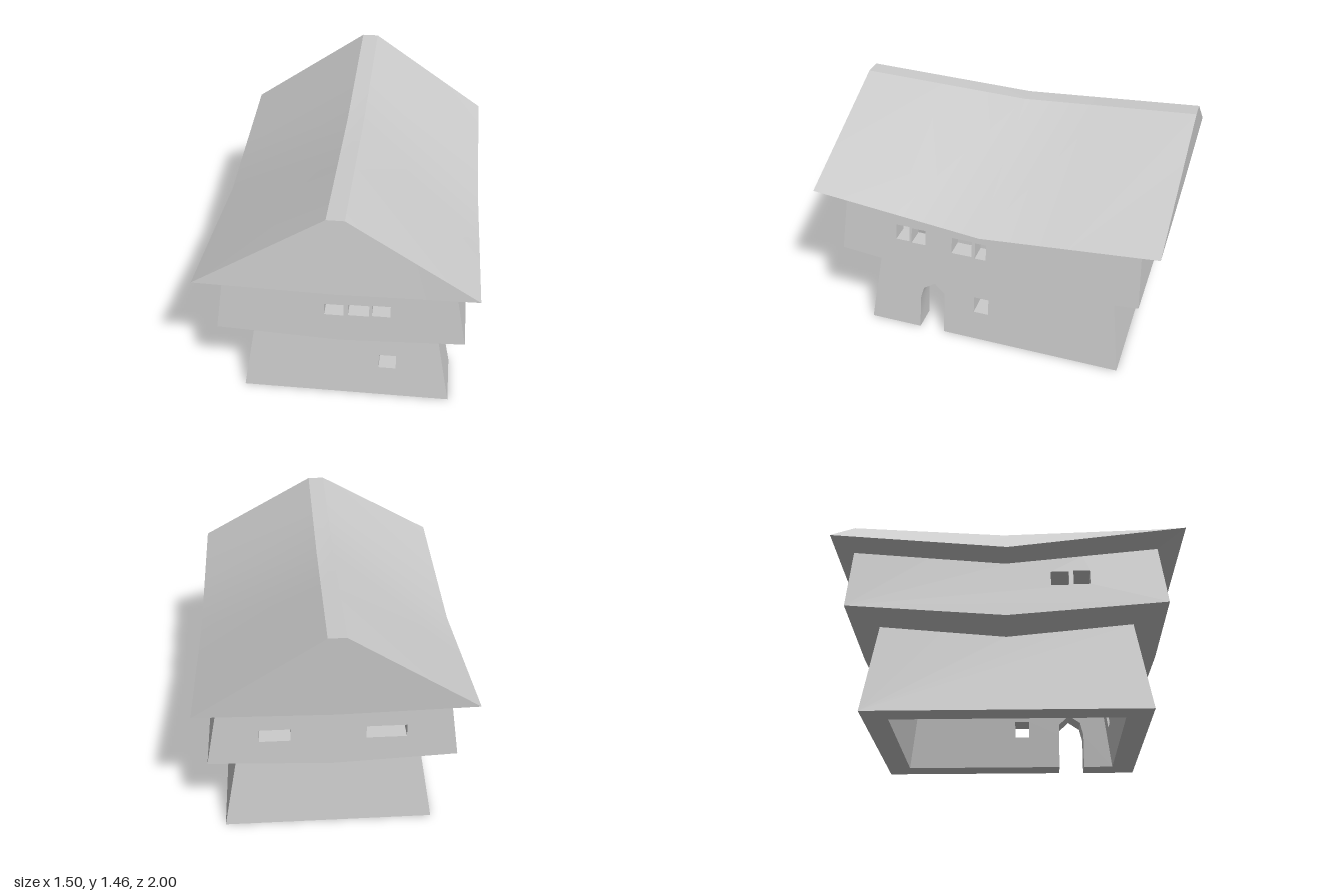
import * as THREE from 'three';
import { mergeVertices, toCreasedNormals } from 'three/addons/utils/BufferGeometryUtils.js';

const material = new THREE.MeshStandardMaterial({ color: 0xcccccc, side: THREE.DoubleSide });
const STEPS = [-1, -0.5, 0, 0.5, 1];
const lerp = THREE.MathUtils.lerp;

function addMesh(group, geometry, name) {
  const mesh = new THREE.Mesh(toCreasedNormals(geometry, 0.35), material);
  mesh.name = name;
  group.add(mesh);
}

// Height along a sagging edge: corners stay up, the middles drop
const sagging = (y, front, side) => (a, b) => y - front * (1 - Math.abs(a)) - side * (1 - Math.abs(b));

// Sloping footprint [x0, x1, z0, z1] at any height
function footprint(yBottom, bottom, yTop, top) {
  return (y) => bottom.map((v, i) => lerp(v, top[i], (y - yBottom) / (yTop - yBottom)));
}

// Sixteen points round a footprint: front, +x side, back, -x side
function loop(rect, height) {
  const points = [];
  for (let side = 0; side < 4; side++) {
    for (let i = 0; i < 4; i++) {
      const s = STEPS[i];
      const [a, b] = [[s, 1], [1, -s], [-s, -1], [-1, s]][side];
      const y = height(a, b);
      const [x0, x1, z0, z1] = rect(y);
      points.push([lerp(x0, x1, (a + 1) / 2), y, lerp(z0, z1, (b + 1) / 2)]);
    }
  }
  return points;
}

function fromQuads(quads) {
  const pos = [];
  for (const [a, b, c, d] of quads) pos.push(...a, ...b, ...c, ...a, ...c, ...d);
  const geometry = new THREE.BufferGeometry();
  geometry.setAttribute('position', new THREE.Float32BufferAttribute(pos, 3));
  return mergeVertices(geometry);
}

const band = (lower, upper) => lower.map((p, i) => {
  const j = (i + 1) % lower.length;
  return [p, lower[j], upper[j], upper[i]];
});

const cap = (l) => [0, 1, 2, 3].map((j) => [l[(16 - j) % 16], l[4 + j], l[5 + j], l[15 - j]]);

// One thick wall with openings, leaning and sagging with its storey, mitred at the corners
function wall(side, storey) {
  const { rect, low, high, thick } = storey;
  const alongX = side === 'front' || side === 'back';
  const sign = side === 'front' || side === 'left' ? 1 : -1; // world axis = sign * u
  const outer = { front: 3, back: 2, right: 1, left: 0 }[side];
  const inward = side === 'front' || side === 'right' ? -1 : 1;

  const limits = (y) => {
    const r = rect(y);
    const [p, q] = alongX ? [r[0], r[1]] : [r[2], r[3]];
    return sign > 0 ? [p, q] : [-q, -p];
  };
  const edge = (height, steps) => steps.map((s) => {
    const y = alongX ? height(s, 1) : height(1, s);
    const [lo, hi] = limits(y);
    return new THREE.Vector2(lerp(lo, hi, (s + 1) / 2), y);
  });

  const bottom = edge(low, storey.flatBase ? [-1, 1] : STEPS);
  const door = storey.doors?.[side];
  if (door) bottom.splice(1, 0, ...door.map(([w, y]) => new THREE.Vector2(sign * w, y)));
  const shape = new THREE.Shape([...bottom, ...edge(high, STEPS).reverse()]);
  for (const [w0, w1, y0, y1] of storey.windows[side] ?? []) {
    const [u0, u1] = [sign * w0, sign * w1];
    shape.holes.push(new THREE.Path([[u0, y0], [u1, y0], [u1, y1], [u0, y1]].map((p) => new THREE.Vector2(...p))));
  }

  const geometry = new THREE.ExtrudeGeometry(shape, { depth: thick, bevelEnabled: false });
  const pos = geometry.attributes.position;
  for (let i = 0; i < pos.count; i++) {
    const y = pos.getY(i);
    const d = thick - pos.getZ(i);
    const [lo, hi] = limits(y);
    const w = sign * THREE.MathUtils.clamp(pos.getX(i), lo + d, hi - d);
    const off = rect(y)[outer] + inward * d;
    if (alongX) pos.setXYZ(i, w, y, off);
    else pos.setXYZ(i, off, y, w);
  }
  return geometry;
}

function buildStorey(name, storey) {
  const group = new THREE.Group();
  group.name = name;
  for (const side of ['front', 'back', 'right', 'left']) addMesh(group, wall(side, storey), side + 'Wall');
  return group;
}

export function createModel() {
  const model = new THREE.Group();
  model.name = 'house';

  // Ground storey: battered walls, open below, pointed doorway on the +x side
  const ground = {
    rect: footprint(0, [-0.58, 0.635, -0.78, 0.785], 0.53, [-0.49, 0.535, -0.71, 0.71]),
    low: () => 0,
    high: sagging(0.53, 0.01, 0.075),
    flatBase: true,
    thick: 0.14,
    windows: {
      front: [[0.22, 0.32, 0.2, 0.29]],
      right: [[0.03, 0.12, 0.185, 0.285]],
    },
    doors: {
      right: [[0.465, 0], [0.465, 0.2], [0.445, 0.275], [0.375, 0.32], [0.312, 0.265], [0.31, 0.2], [0.31, 0]],
    },
  };

  // Overhanging upper storey with small grouped windows
  const upper = {
    rect: footprint(0.575, [-0.675, 0.695, -0.88, 0.89], 0.94, [-0.62, 0.625, -0.86, 0.855]),
    low: sagging(0.575, 0.03, 0.075),
    high: sagging(0.935, 0.022, 0.09),
    thick: 0.1,
    windows: {
      front: [[-0.075, 0.03, 0.715, 0.785], [0.055, 0.17, 0.72, 0.79], [0.185, 0.285, 0.725, 0.795]],
      back: [[0.24, 0.41, 0.71, 0.785], [-0.39, -0.17, 0.71, 0.785]],
      right: [[0.47, 0.55, 0.7, 0.79], [0.37, 0.455, 0.695, 0.785], [0.09, 0.21, 0.68, 0.775], [0.005, 0.07, 0.675, 0.77]],
      left: [[0.25, 0.35, 0.695, 0.785], [0.375, 0.47, 0.7, 0.79]],
    },
  };
  model.add(buildStorey('groundStorey', ground), buildStorey('upperStorey', upper));

  // Sloping underside of the overhang
  addMesh(model, fromQuads(band(loop(ground.rect, ground.high), loop(upper.rect, upper.low))), 'overhangUnderside');

  // Swaybacked roof: eaves, narrow flat ridge, and underside down to the walls
  const eaveSag = sagging(0.985, 0.015, 0.1);
  const eaves = loop(() => [-0.75, 0.747, -0.975, 1], (a, b) => eaveSag(a, b) + 0.008 * b);
  const ridge = loop(() => [-0.045, 0.05, -1, 0.94], (a, b) => 1.385 + (b > 0 ? 0.028 * b : -0.07 * b));
  const wallTop = loop(upper.rect, upper.high);
  const roof = new THREE.Group();
  roof.name = 'roof';
  addMesh(roof, fromQuads([...band(eaves, ridge), ...cap(ridge)]), 'roofSlopes');
  addMesh(roof, fromQuads(band(wallTop, eaves)), 'eavesUnderside');
  addMesh(roof, fromQuads(cap(wallTop)), 'ceiling');
  model.add(roof);
  return model;
}
